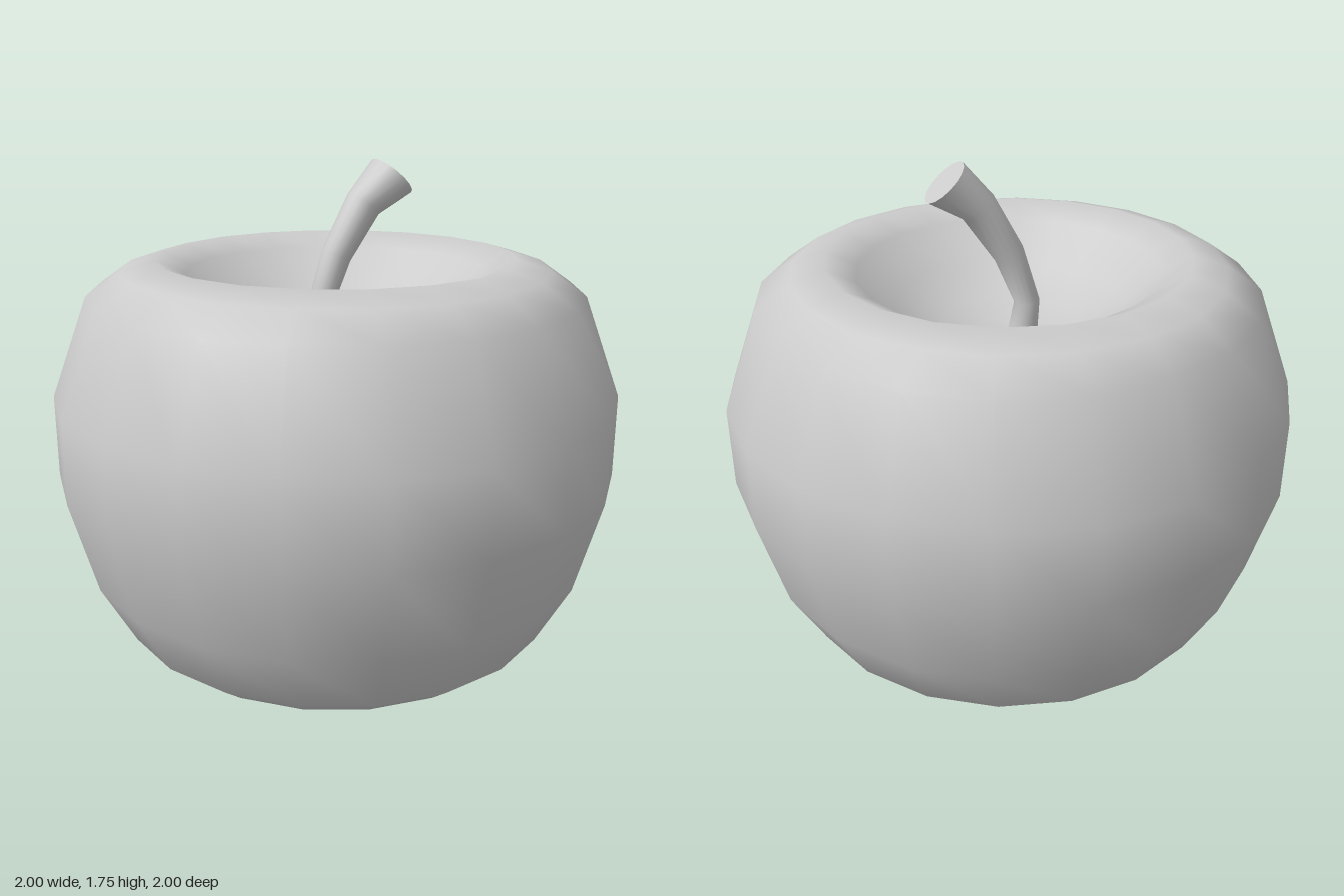
import * as THREE from 'three';
import { toCreasedNormals } from 'three/addons/utils/BufferGeometryUtils.js';

const material = new THREE.MeshStandardMaterial({ color: 0xcccccc });

// Fruit body: 20-sided lathe, hollow at the bottom and at the top
function makeBody() {
  const profile = [
    [0, 0.29], [0.1, 0.28], [0.24, 0.23], [0.5, 0.04], [0.6, 0],
    [0.7, 0.04], [0.79, 0.11], [0.91, 0.33], [1, 0.66], [1, 0.95],
    [0.87, 1.3], [0.75, 1.385], [0.63, 1.42], [0.53, 1.37],
    [0.4, 1.25], [0.24, 1.17], [0.1, 1.14], [0, 1.135],
  ].map(([r, y]) => new THREE.Vector2(r, y));
  const body = new THREE.Mesh(new THREE.LatheGeometry(profile, 20), material);
  body.name = 'body';
  return body;
}

// Stem: a cylinder whose rings follow a bent, widening path
function makeStem() {
  // centre x, centre y, radius, tilt towards +x
  const rings = [
    [-0.05, 1.12, 0.052, -0.1],
    [-0.065, 1.24, 0.045, 0.1],
    [0, 1.42, 0.054, 0.43],
    [0.106, 1.592, 0.065, 0.62],
    [0.22, 1.685, 0.09, 0.75],
  ];
  const steps = rings.length - 1;
  const geometry = new THREE.CylinderGeometry(1, 1, 1, 16, steps);
  const pos = geometry.attributes.position;
  for (let i = 0; i < pos.count; i++) {
    const [cx, cy, r, tilt] = rings[Math.round((pos.getY(i) + 0.5) * steps)];
    const x = pos.getX(i) * r;
    pos.setXYZ(i, cx + x * Math.cos(tilt), cy - x * Math.sin(tilt), pos.getZ(i) * r);
  }
  const stem = new THREE.Mesh(toCreasedNormals(geometry, 0.9), material);
  stem.name = 'stem';
  return stem;
}

export function createModel() {
  const group = new THREE.Group();
  group.name = 'apple';
  group.add(makeBody(), makeStem());
  return group;
}
